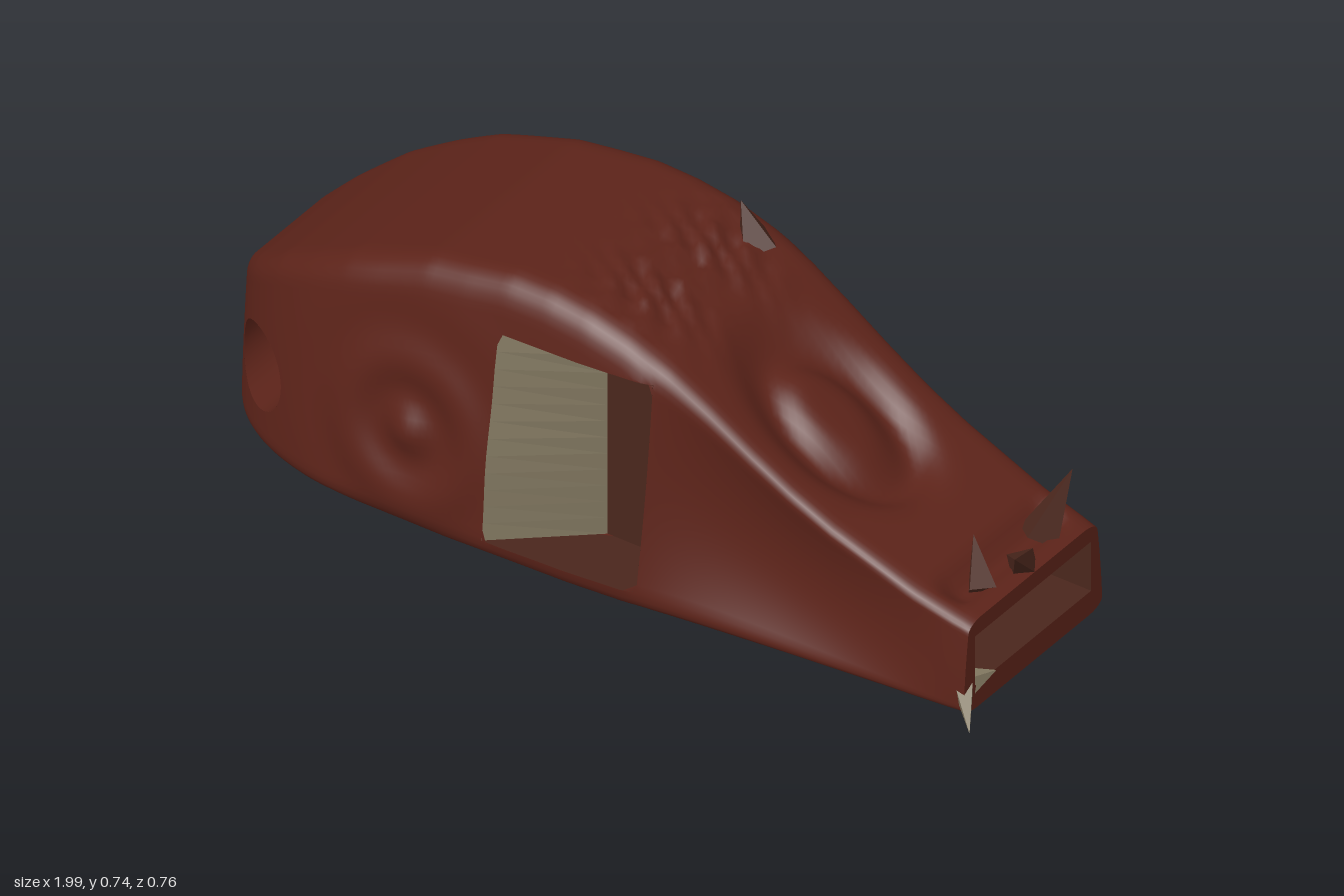
import * as THREE from 'three';

const skin = new THREE.MeshStandardMaterial({ color: 0x5c2319, side: THREE.DoubleSide });
const inner = new THREE.MeshStandardMaterial({ color: 0x4a261c, side: THREE.DoubleSide, flatShading: true });
const pale = new THREE.MeshStandardMaterial({ color: 0x80765f, side: THREE.DoubleSide, flatShading: true });

const { clamp, lerp } = THREE.MathUtils;
const FRONT = 0.94;
const TOP = [[-1, 0.32], [-0.95, 0.385], [-0.9, 0.43], [-0.8, 0.505], [-0.7, 0.56], [-0.6, 0.61], [-0.4, 0.68],
  [-0.2, 0.712], [-0.1, 0.71], [0, 0.695], [0.1, 0.665], [0.2, 0.62], [0.3, 0.56], [0.4, 0.495], [0.5, 0.435],
  [0.6, 0.385], [0.7, 0.345], [0.8, 0.305], [FRONT, 0.265]];
const WIDTH = [[-0.5, 0.376], [-0.3, 0.378], [0, 0.366], [0.2, 0.347], [0.4, 0.322], [0.6, 0.296], [FRONT, 0.25]];
const HOLE = { x: -0.835, y: 0.23, r: 0.09 };
const BAY = { x0: -0.2, x1: 0.17, y0: 0.1, y1: 0.59, mid: 0, z: 0.2 };
const SLOT = { x0: 0.43, x1: 0.53, z: 0.2, y: 0.13 };
const BASE = 0.042;

function sample(table, x) {
  let i = 1;
  while (i < table.length - 1 && table[i][0] < x) i++;
  const [a, b] = [table[i - 1], table[i]];
  return lerp(a[1], b[1], clamp((x - a[0]) / (b[0] - a[0]), 0, 1));
}
const topAt = (x) => sample(TOP, x);
const halfWidth = (x) => x > -0.5 ? sample(WIDTH, x)
  : 0.376 * Math.sqrt(Math.max(0, 1 - Math.pow((-0.5 - x) / 0.5, 2.2)));
const toT = (x, y) => 2 * (y - BASE) / (topAt(x) - BASE) - 1;

// Shell point: x along the body, (s, t) on a rounded square section
function shell(x, s, t) {
  const T = topAt(x), h = (t + 1) / 2;
  const taper = 1 - 0.24 * Math.pow(h, 1.6) * (T - BASE) / 0.67;
  const along = clamp((x - 0.14) / 0.76, 0, 1);
  const scoop = 0.2 * Math.sin(Math.PI * Math.pow(along, 0.7)) * Math.pow(Math.max(0, Math.cos(t * Math.PI / 2)), 0.8);
  let z = s * halfWidth(x) * taper * (1 - scoop);
  let y = lerp(BASE, T, h);
  if (t > 0.9) {
    // Ring-shaped dent on the sloping deck, wrinkled collar and nose groove
    const inside = clamp((0.85 - Math.abs(s)) * 5, 0, 1);
    const r = Math.hypot((x - 0.44) / 0.27, z / 0.2);
    y -= inside * 0.045 * Math.exp(-(((r - 0.6) / 0.22) ** 2));
    y += inside * 0.012 * Math.sin(x * 70 + 3 * Math.sin(z * 30)) * Math.sin(z * 55) * Math.exp(-(((x - 0.05) / 0.12) ** 2));
    y -= inside * 0.03 * Math.exp(-(((x - 0.86) / 0.035) ** 4));
  }
  if (t < -0.95) {
    // Shallow keel under the tail
    const run = x < -0.95 ? (x + 1) / 0.05 : clamp((-0.1 - x) / 0.85, 0, 1);
    y -= 0.04 * run * Math.max(0, 1 - Math.abs(z + 0.04) / 0.14);
  }
  if (Math.abs(s) > 0.95) {
    // Swirled relief on the flanks
    const d = Math.hypot(x + 0.4, y - 0.29);
    z += Math.sign(s) * 0.012 * Math.cos(d * 38) * Math.exp(-((d / 0.2) ** 2));
  }
  return [x, y, z];
}
const flank = (x, y, side) => shell(x, side, toT(x, y));

// Joins equal rows of points; skip(i, j) leaves a cell open
function loft(rows, skip = () => false) {
  const n = rows[0].length, index = [];
  for (let i = 0; i < rows.length - 1; i++) for (let j = 0; j < n - 1; j++) {
    if (skip(i, j)) continue;
    const a = i * n + j, b = a + n;
    index.push(a, a + 1, b, b, a + 1, b + 1);
  }
  const g = new THREE.BufferGeometry();
  g.setAttribute('position', new THREE.Float32BufferAttribute(rows.flat(2), 3));
  g.setIndex(index);
  g.computeVertexNormals();
  return g;
}

// Rounded-square section walked from the bottom middle, around +z, and back
function sectionPoints(perSide = 32, r = 0.19) {
  const pts = [], k = 1 - r;
  for (let e = 0; e < 4; e++) for (let i = 0; i < perSide; i++) {
    const a = -1 + 2 * i / perSide;
    const [p, q] = [[a, -1], [1, a], [-a, 1], [-1, -a]][e];
    const c = [clamp(p, -k, k), clamp(q, -k, k)];
    const d = [p - c[0], q - c[1]], l = Math.hypot(...d);
    pts.push([c[0] + d[0] / l * r, c[1] + d[1] / l * r]);
  }
  pts.push(pts[0]);
  return pts;
}

// Moves a value pair inside a rectangle to its nearest edge
function toEdge(u, v, u0, u1, v0, v1) {
  const d = [u - u0, u1 - u, v - v0, v1 - v], m = Math.min(...d);
  if (m < -1e-6) return null;
  return [[u0, v], [u1, v], [u, v0], [u, v1]][d.indexOf(m)];
}

function bodyGeometry() {
  const rows = [], flags = [], section = sectionPoints(), N = 140;
  for (let i = 0; i <= N; i++) {
    const x = -1 + (1 + FRONT) * Math.pow(i / N, 1.4), row = [], flag = [];
    for (const [s, t] of section) {
      let p = shell(x, s, t), f = 0;
      if (Math.abs(s) > 0.9) {
        const dx = x - HOLE.x, dy = p[1] - HOLE.y, d = Math.hypot(dx, dy) || 1e-4;
        const e = toEdge(x, p[1], BAY.x0, BAY.x1, BAY.y0, BAY.y1);
        if (d < HOLE.r) {
          p = flank(HOLE.x + dx / d * HOLE.r, HOLE.y + dy / d * HOLE.r, Math.sign(s));
          f = 1;
        } else if (e) { p = flank(e[0], e[1], Math.sign(s)); f = 2; }
      } else if (t < -0.95) {
        const e = toEdge(x, p[2], SLOT.x0, SLOT.x1, -SLOT.z, SLOT.z);
        if (e) { p = [e[0], p[1], e[1]]; f = 3; }
      }
      row.push(p);
      flag.push(f);
    }
    rows.push(row);
    flags.push(flag);
  }
  const skip = (i, j) => flags[i][j] > 0 && [flags[i][j + 1], flags[i + 1][j], flags[i + 1][j + 1]].every((f) => f === flags[i][j]);
  return { geometry: loft(rows, skip), nose: rows[N] };
}

export function createModel() {
  const model = new THREE.Group();
  const add = (name, geometry, material) => {
    const m = new THREE.Mesh(geometry, material);
    m.name = name;
    model.add(m);
    return m;
  };
  const { geometry, nose } = bodyGeometry();
  add('body', geometry, skin);

  // Nose plate with a rectangular mouth
  const plate = new THREE.Shape(nose.slice(0, -1).map(([, y, z]) => new THREE.Vector2(-z, y)));
  const mouth = [[-0.21, 0.1], [0.21, 0.1], [0.21, 0.225], [-0.21, 0.225], [-0.21, 0.1]];
  plate.holes.push(new THREE.Path(mouth.map((p) => new THREE.Vector2(...p))));
  const face = add('nosePlate', new THREE.ShapeGeometry(plate), skin);
  face.rotation.y = Math.PI / 2;
  face.position.x = FRONT;
  const ring = (x) => mouth.map(([z, y]) => [x, y, -z]);
  add('mouthWalls', loft([ring(FRONT), ring(0.7)]), inner);
  add('mouthBack', loft([[[0.7, 0.1, 0.21], [0.7, 0.1, -0.21]], [[0.7, 0.225, 0.21], [0.7, 0.225, -0.21]]]), inner);
  for (const z of [-0.13, 0, 0.13]) {
    add('mouthRib', new THREE.BoxGeometry(0.1, 0.125, 0.03), z ? inner : pale).position.set(0.76, 0.1625, z);
  }

  // Round tunnel across the tail
  const rim = (side) => Array.from({ length: 33 }, (_, i) => {
    const a = i / 32 * Math.PI * 2;
    return flank(HOLE.x + HOLE.r * Math.cos(a), HOLE.y + HOLE.r * Math.sin(a), side);
  });
  add('tailTunnel', loft([rim(1), rim(-1)]), skin);

  // Side bays: a slanted rear wall running into a flat floor
  for (const side of [1, -1]) {
    const depth = (x, y) => {
      const z = flank(x, y, side)[2];
      return x < BAY.mid ? lerp(z, side * BAY.z, (x - BAY.x0) / (BAY.mid - BAY.x0)) : side * BAY.z;
    };
    const steps = Array.from({ length: 13 }, (_, i) => i / 12);
    const column = (x) => steps.map((k) => lerp(BAY.y0, BAY.y1, k)).map((y) => [x, y, depth(x, y)]);
    add('baySlope', loft([column(BAY.x0), column(BAY.mid - 1e-4)]), pale);
    add('bayFloor', loft([column(BAY.mid), column(BAY.x1)]), inner);
    for (const y of [BAY.y0, BAY.y1]) {
      const xs = steps.map((k) => lerp(BAY.x0, BAY.x1, k));
      add('bayLedge', loft([xs.map((x) => flank(x, y, side)), xs.map((x) => [x, y, depth(x, y)])]), inner);
    }
    const end = column(BAY.x1);
    add('bayEnd', loft([end, end.map(([x, y]) => flank(x, y, side))]), inner);
  }

  // Slot across the underside
  const lip = (y) => [[0, -1], [1, -1], [1, 1], [0, 1], [0, -1]].map(([a, b]) => [a ? SLOT.x1 : SLOT.x0, y, b * SLOT.z]);
  const roof = lip(SLOT.y);
  add('slotWalls', loft([lip(BASE), roof]), inner);
  add('slotRoof', loft([[roof[0], roof[1]], [roof[3], roof[2]]]), pale);

  // Jagged spikes
  const spike = (base, tip, r, material) => {
    const a = new THREE.Vector3(...base), d = new THREE.Vector3(...tip).sub(a);
    const m = add('spike', new THREE.ConeGeometry(r, d.length(), 4).translate(0, d.length() / 2, 0), material);
    m.position.copy(a);
    m.quaternion.setFromUnitVectors(new THREE.Vector3(0, 1, 0), d.normalize());
  };
  spike([0.1, 0.64, -0.2], [0.06, 0.745, -0.195], 0.05, inner);
  spike([0.87, 0.26, -0.12], [0.9, 0.4, -0.2], 0.05, inner);
  spike([0.9, 0.26, -0.02], [0.95, 0.35, 0.08], 0.04, inner);
  spike([0.88, 0.25, 0.1], [0.81, 0.33, 0.03], 0.04, inner);
  spike([0.9, 0.11, 0.2], [0.99, 0.05, 0.3], 0.035, pale);
  spike([0.92, 0.1, 0.2], [0.96, 0.12, 0.16], 0.03, pale);
  return model;
}
